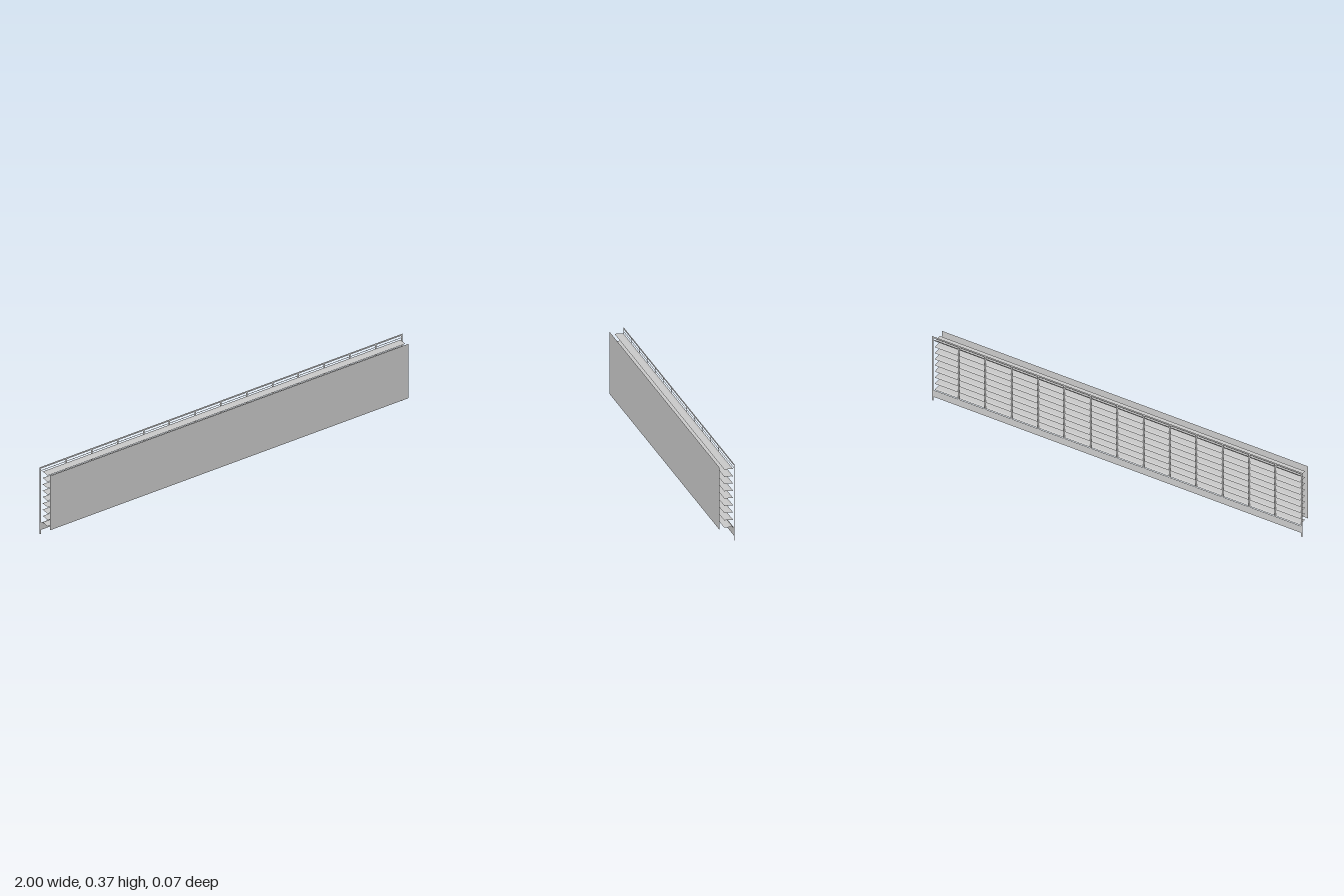
import * as THREE from 'three';

const material = new THREE.MeshStandardMaterial({ color: 0xcccccc, side: THREE.DoubleSide });

// Upright sheet spanning x0..x1, y0..y1 at depth z
function sheet(name, x0, x1, y0, y1, z) {
  const mesh = new THREE.Mesh(new THREE.PlaneGeometry(x1 - x0, y1 - y0), material);
  mesh.position.set((x0 + x1) / 2, (y0 + y1) / 2, z);
  mesh.name = name;
  return mesh;
}

// Level strip spanning z0..z1, centred on x, dropping by tilt towards z0
function strip(halfWidth, z0, z1, drop) {
  const geometry = new THREE.PlaneGeometry(halfWidth * 2, 1);
  const p = geometry.attributes.position;
  for (let i = 0; i < p.count; i++) {
    const front = p.getY(i) < 0;
    p.setXYZ(i, p.getX(i), front ? 0 : -drop, front ? z1 : z0);
  }
  geometry.computeVertexNormals();
  return new THREE.Mesh(geometry, material);
}

export function createModel() {
  const model = new THREE.Group();
  model.name = 'louvredBarrier';
  const back = -0.035;

  // Large front panel
  model.add(sheet('frontPanel', -0.988, 0.988, 0.058, 0.362, 0.035));

  // Stacked louvres with a small bent back edge
  const louvres = new THREE.Group();
  louvres.name = 'louvres';
  const count = 9;
  for (let i = 0; i < count; i++) {
    const louvre = new THREE.Group();
    louvre.name = 'louvre';
    const lip = strip(0.986, -0.032, -0.021, 0.002);
    louvre.add(strip(0.986, -0.021, 0.011, 0), lip);
    louvre.position.y = 0.065 + i * 0.0355;
    louvres.add(louvre);
  }
  model.add(louvres);

  // Rear railing: posts, the outer two reaching the ground
  const railing = new THREE.Group();
  railing.name = 'railing';
  const bays = 14, half = 0.004;
  for (let i = 0; i <= bays; i++) {
    const x = -0.996 + (1.992 * i) / bays;
    const isEnd = i === 0 || i === bays;
    railing.add(sheet('post', x - half, x + half, isEnd ? 0 : 0.062, 0.367, back));
  }
  railing.add(sheet('topRail', -1, 1, 0.365, 0.374, back));
  railing.add(sheet('lowerRail', -1, 1, 0.352, 0.355, back));
  railing.add(sheet('toeBoard', -1, 1, 0.022, 0.062, back));
  model.add(railing);

  return model;
}
